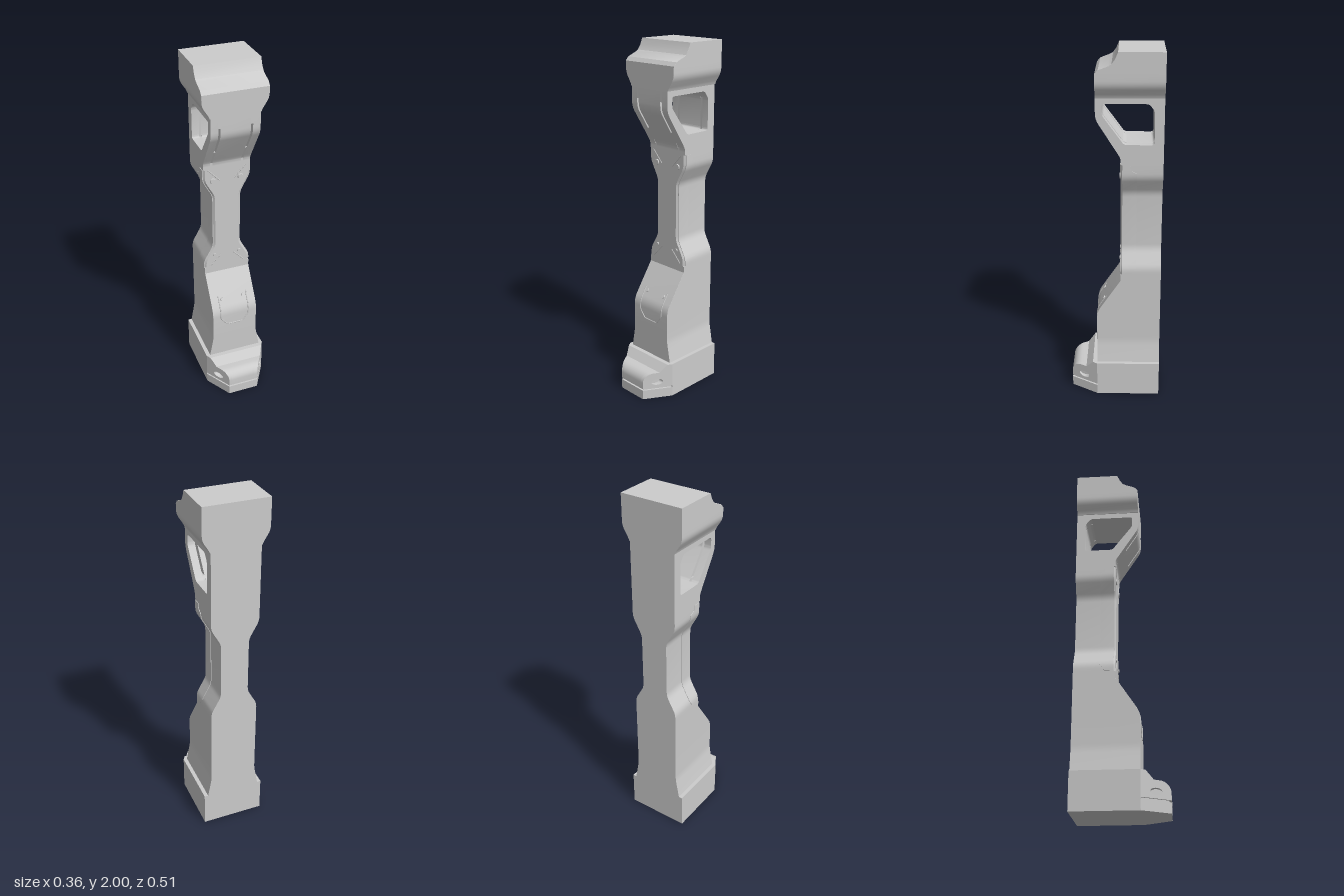
import * as THREE from 'three';
import { toCreasedNormals } from 'three/addons/utils/BufferGeometryUtils.js';

const BACK = -0.255;
const material = new THREE.MeshStandardMaterial({ color: 0xcccccc, side: THREE.DoubleSide });

// Replace the inner corners of a polyline with short curves
function round(pts, r, closed = false) {
  const n = pts.length, out = [];
  pts.forEach((p, i) => {
    if (!closed && (i === 0 || i === n - 1)) { out.push(p); return; }
    const toward = (q) => {
      const d = Math.hypot(q[0] - p[0], q[1] - p[1]), k = Math.min(r / d, 0.45);
      return new THREE.Vector2(p[0] + (q[0] - p[0]) * k, p[1] + (q[1] - p[1]) * k);
    };
    const curve = new THREE.QuadraticBezierCurve(
      toward(pts[(i + n - 1) % n]), new THREE.Vector2(...p), toward(pts[(i + 1) % n]));
    curve.getPoints(4).forEach((v) => out.push([v.x, v.y]));
  });
  return out;
}

// Value of a [y, value] table at height y
function at(table, y) {
  if (y <= table[0][0]) return table[0][1];
  for (let i = 1; i < table.length; i++) {
    const [y0, a] = table[i - 1], [y1, b] = table[i];
    if (y <= y1) return a + (b - a) * (y - y0) / (y1 - y0);
  }
  return table[table.length - 1][1];
}

// Half width, front surface and front corner bevel by height
const WIDTH = round([[0.205, 0.158], [0.33, 0.135], [0.8, 0.135], [0.9, 0.079], [1.23, 0.079],
  [1.33, 0.135], [1.76, 0.135], [1.83, 0.18], [2, 0.18]], 0.025);
const FRONT = [...round([[0.205, 0.105], [0.52, 0.105], [0.72, -0.028]], 0.035), [1.44, -0.028],
  [1.65, 0.105], [1.89, 0.105], [1.91, 0.087], [1.93, 0.035], [1.94, 0.018], [1.965, 0], [2, -0.015]];
const BEVEL = [[0.755, 0.0005], [0.76, 0.01], [1.4, 0.01], [1.405, 0.0005]];

// Heights between y0 and y1 where any table bends
function levels(y0, y1, ...tables) {
  const ys = tables.flat().map((p) => p[0]).filter((y) => y > y0 + 0.001 && y < y1 - 0.001);
  return [y0, ...ys, y1].sort((a, b) => a - b).filter((y, i, l) => !i || y - l[i - 1] > 1e-4);
}

// Skin between horizontal sections; section(y) gives [x, z] corners
function loft(ys, section) {
  const pos = [], idx = [], n = section(ys[0]).length, top = (ys.length - 1) * n;
  ys.forEach((y) => section(y).forEach(([x, z]) => pos.push(x, y, z)));
  for (let i = 0; i < ys.length - 1; i++) {
    for (let j = 0; j < n; j++) {
      const a = i * n + j, b = i * n + (j + 1) % n;
      idx.push(a, b, b + n, a, b + n, a + n);
    }
  }
  for (let j = 1; j < n - 1; j++) idx.push(0, j + 1, j, top, top + j, top + j + 1);
  const g = new THREE.BufferGeometry();
  g.setAttribute('position', new THREE.Float32BufferAttribute(pos, 3));
  g.setIndex(idx);
  return toCreasedNormals(g, 0.4);
}

function bodySection(y) {
  const w = at(WIDTH, y), f = at(FRONT, y), c = at(BEVEL, y);
  return [[-w, BACK], [-w, f - c], [-w + c, f], [w - c, f], [w, f - c], [w, BACK]];
}

// Side profile of [z, y] points extruded from x0 to x1
function slab(pts, x0, x1, holes = []) {
  const shape = new THREE.Shape(pts.map((p) => new THREE.Vector2(...p)));
  holes.forEach((h) => shape.holes.push(new THREE.Path(h.map((p) => new THREE.Vector2(...p)))));
  const g = new THREE.ExtrudeGeometry(shape, { depth: x1 - x0, bevelEnabled: false, curveSegments: 12 });
  return g.rotateY(-Math.PI / 2).translate(x1, 0, 0);
}

export function createModel() {
  const model = new THREE.Group();
  const add = (name, geometry, parent = model) => {
    const mesh = new THREE.Mesh(geometry, material);
    mesh.name = name;
    parent.add(mesh);
    return mesh;
  };
  const group = (name) => {
    const g = new THREE.Group();
    g.name = name;
    model.add(g);
    return g;
  };

  // Column and top block
  add('column', loft(levels(0.205, 1.42, WIDTH, FRONT, BEVEL), bodySection));
  add('topBlock', loft(levels(1.76, 2, WIDTH, FRONT), bodySection));

  // Head with a side window and two slots through its front wall
  const head = group('windowedHead');
  const rim = round([[-0.028, 1.42], [-0.028, 1.44], [0.105, 1.65], [0.105, 1.76]], 0.03);
  const outline = [[BACK, 1.42], ...rim, [BACK, 1.76]];
  const windowHole = round([[0.07, 1.73], [-0.175, 1.73], [-0.205, 1.69], [-0.205, 1.513],
    [-0.046, 1.513], [0.07, 1.67]], 0.015, true);
  [[-0.135, -0.094], [-0.082, 0.082], [0.094, 0.135]].forEach(([a, b]) =>
    add('headWall', toCreasedNormals(slab(outline, a, b, [windowHole]), 0.5), head));
  const slotted = [[BACK, 1.42], [-0.028, 1.42], [-0.028, 1.44], [0.029, 1.53], [-0.033, 1.53],
    [-0.046, 1.513], [-0.205, 1.513], [-0.205, 1.69], [-0.175, 1.73], [0.066, 1.73],
    [0.07, 1.7], [0.105, 1.7], [0.105, 1.76], [BACK, 1.76]];
  [-1, 1].forEach((s) => add('slotWall', slab(slotted, s * 0.088 - 0.006, s * 0.088 + 0.006), head));

  // Edge brackets along the waist, notched at their rear corners
  const REAR = [[0.76, -0.085], [0.765, -0.09], [0.8, -0.115], [1.355, -0.115], [1.37, -0.085], [1.4, -0.078]];
  const ys = levels(0.76, 1.4, WIDTH.filter((p) => p[0] > 0.76 && p[0] < 1.4), REAR);
  for (const s of [-1, 1]) {
    add('edgeBracket', loft(ys, (y) => {
      const a = s * at(WIDTH, y), x0 = Math.min(a - s * 0.012, a + s * 0.003);
      const x1 = x0 + 0.015, r = at(REAR, y);
      return [[x0, r], [x0, -0.037], [x1, -0.037], [x1, r]];
    }));
  }

  // Thin raised seam lying on the front surface
  const seam = (name, pts) => {
    const path = new THREE.CurvePath();
    const v = pts.map(([x, y]) => new THREE.Vector3(x, y, at(FRONT, y)));
    for (let i = 1; i < v.length; i++) path.add(new THREE.LineCurve3(v[i - 1], v[i]));
    add(name, new THREE.TubeGeometry(path, 8 * v.length, 0.0035, 6));
  };
  // Bolt head set into the front surface
  const bolt = (x, y, r, slope = 0) => {
    const m = add('bolt', new THREE.CylinderGeometry(r * 0.85, r, 0.01, 20));
    m.position.set(x, y, at(FRONT, y) + 0.001);
    m.rotation.x = Math.PI / 2 - Math.atan(slope);
  };
  for (const s of [-1, 1]) {
    seam('upperCornerSeam', [[s * 0.107, 1.398], [s * 0.042, 1.328]]);
    seam('lowerCornerSeam', [[s * 0.038, 0.838], [s * 0.105, 0.767]]);
    bolt(s * 0.08, 1.328, 0.018);
    bolt(s * 0.075, 0.84, 0.011);
    bolt(s * 0.065, 0.58, 0.011, 0.665);
  }

  // Shield-shaped cover on the shin
  seam('shieldEdge', round([[-0.086, 0.6], [-0.086, 0.555], [-0.086, 0.52], [-0.086, 0.47],
    [-0.048, 0.42], [0.048, 0.42], [0.086, 0.47], [0.086, 0.52], [0.086, 0.555], [0.086, 0.6]], 0.012));

  // Base block
  add('base', new THREE.BoxGeometry(0.36, 0.205, 0.36).translate(0, 0.1025, -0.075));

  // Toe: slabs across the width, narrowed toward the front
  const toe = group('toe');
  const taper = (g, inset = 0) => {
    const p = g.attributes.position;
    for (let i = 0; i < p.count; i++) {
      p.setX(i, p.getX(i) * (0.18 - inset - (p.getZ(i) - 0.105) * 0.6));
    }
    return toCreasedNormals(g, 0.5);
  };
  const block = (y0, y1, front) => [[0.105, y0], [front, y0], [front, y1], [0.105, y1]];
  const arc = [];
  for (let i = 0; i <= 8; i++) {
    const a = i / 8 * Math.PI / 2;
    arc.push([0.2 + 0.055 * Math.cos(a), 0.105 + 0.055 * Math.sin(a)]);
  }
  const upper = [[0.105, 0.066], [0.255, 0.066], ...arc, [0.17, 0.16], [0.13, 0.205], [0.105, 0.205]];
  const eye = [];
  for (let i = 0; i < 24; i++) {
    const a = i / 24 * Math.PI * 2;
    eye.push([0.182 + 0.03 * Math.cos(a), 0.102 + 0.018 * Math.sin(a)]);
  }
  add('toeSole', taper(slab(block(0, 0.056, 0.255), -1, 1)), toe);
  add('toeGroove', taper(slab(block(0.056, 0.066, 0.243), -1, 1), 0.012), toe);
  add('toeCore', taper(slab(upper, -0.8, 0.8)), toe);
  add('toeLugRight', taper(slab(upper, -1, -0.8, [eye])), toe);
  add('toeLugLeft', taper(slab(upper, 0.8, 1, [eye])), toe);

  return model;
}
